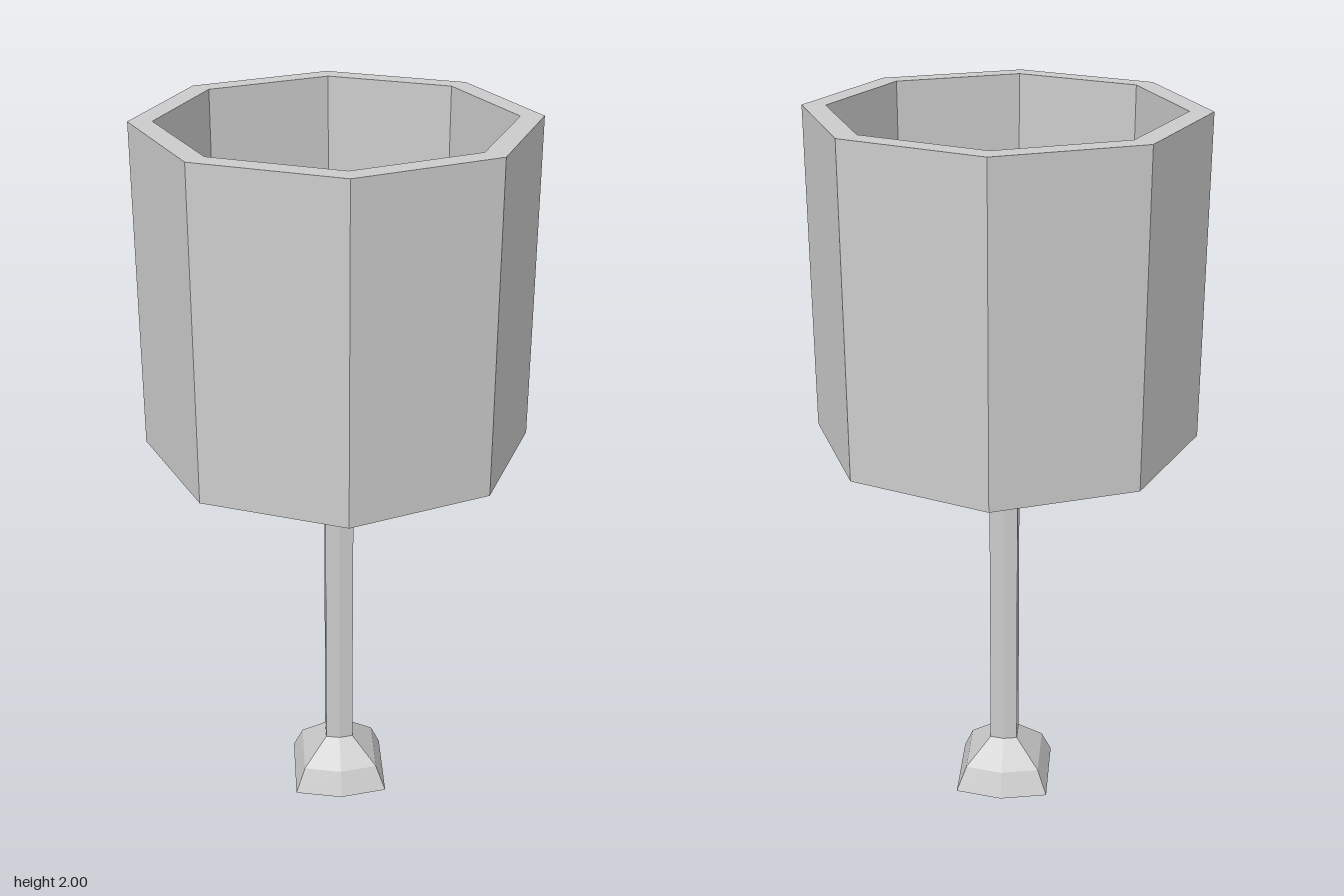
import * as THREE from 'three';

// Closed loft through hexagonal sections [y, half width, corner depth, point depth]
function hexLoft(sections) {
  const pos = [];
  const index = [];
  for (const [y, w, c, p] of sections) {
    for (const [x, z] of [[0, p], [w, c], [w, -c], [0, -p], [-w, -c], [-w, c]]) pos.push(x, y, z);
  }
  for (let i = 0; i < sections.length - 1; i++) {
    for (let j = 0; j < 6; j++) {
      const a = i * 6 + j, b = i * 6 + (j + 1) % 6;
      index.push(a, b, b + 6, a, b + 6, a + 6);
    }
  }
  // End caps
  const top = (sections.length - 1) * 6;
  for (let j = 1; j < 5; j++) {
    index.push(0, j + 1, j);
    index.push(top, top + j, top + j + 1);
  }
  const geo = new THREE.BufferGeometry();
  geo.setAttribute('position', new THREE.Float32BufferAttribute(pos, 3));
  geo.setIndex(index);
  const flat = geo.toNonIndexed();
  flat.computeVertexNormals();
  return flat;
}

export function createModel() {
  const group = new THREE.Group();
  const material = new THREE.MeshStandardMaterial({ color: 0xcccccc, flatShading: true });

  const add = (name, geometry, x = 0, z = 0) => {
    const mesh = new THREE.Mesh(geometry, material);
    mesh.name = name;
    mesh.position.set(x, 0, z);
    group.add(mesh);
  };

  // Flared foot, steep below and sloping in to the pole
  add('base', hexLoft([
    [0, 0.133, 0.122, 0.15],
    [0.07, 0.106, 0.097, 0.12],
    [0.14, 0.039, 0.036, 0.044],
  ]), 0.004, -0.002);

  // Slim hexagonal pole ending inside the shade
  add('pole', hexLoft([
    [0.14, 0.039, 0.036, 0.044],
    [1.6, 0.039, 0.036, 0.044],
  ]), 0.004, -0.002);

  // Open eight-sided shade with a thick wall
  const wall = [[0.46, 1.12], [0.522, 1.12], [0.522, 2], [0.46, 2], [0.46, 1.12]];
  add('shade', new THREE.LatheGeometry(wall.map(([r, y]) => new THREE.Vector2(r, y)), 8));

  return group;
}
